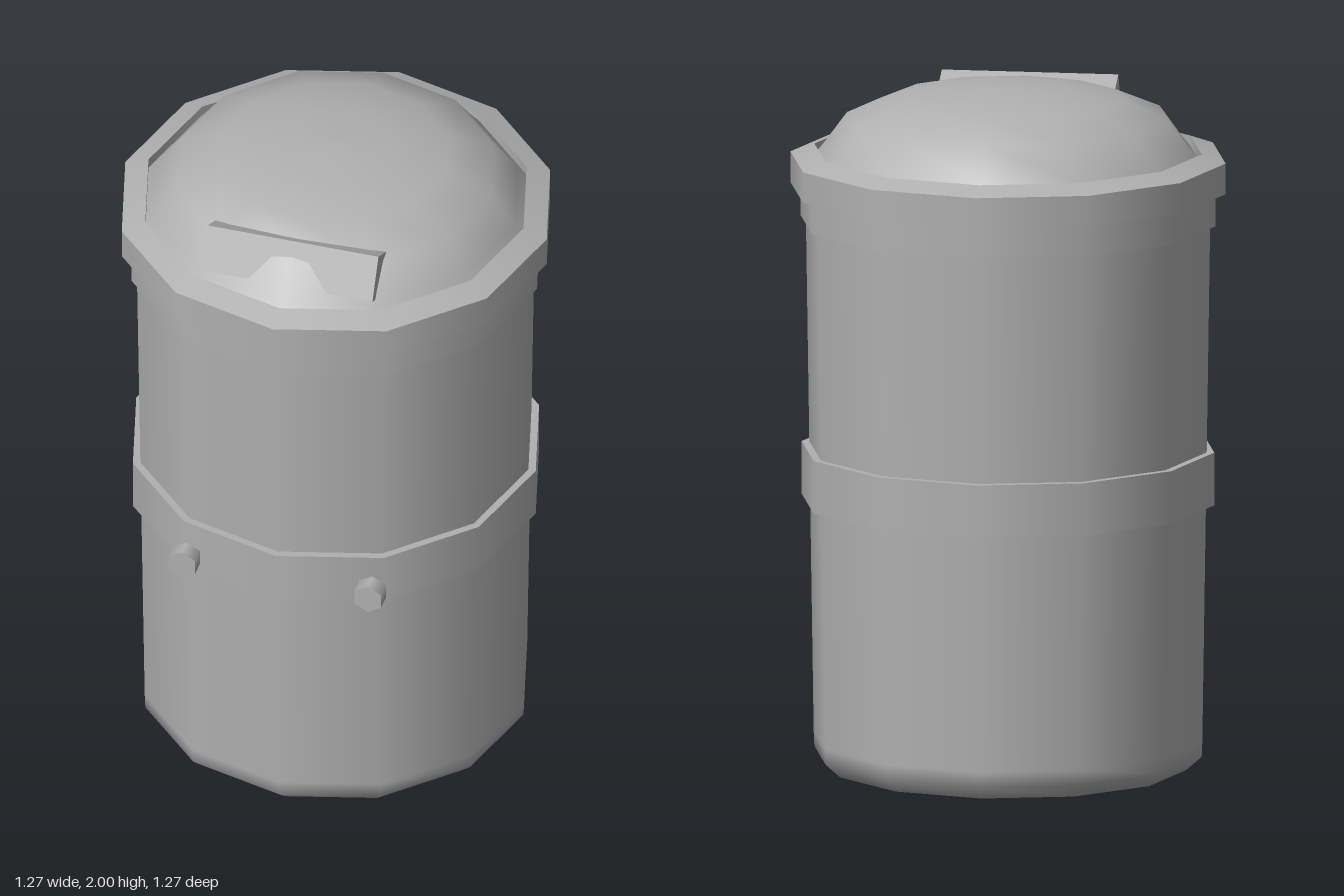
import * as THREE from 'three';
import { mergeGeometries } from 'three/addons/utils/BufferGeometryUtils.js';

const SIDES = 12;

export function createModel() {
  const model = new THREE.Group();
  const grey = new THREE.MeshStandardMaterial({ color: 0xb0b0b0 });
  grey.name = 'grey';

  const add = (name, geometry) => {
    const mesh = new THREE.Mesh(geometry, grey);
    mesh.name = name;
    model.add(mesh);
    return mesh;
  };
  const lathe = (profile) =>
    new THREE.LatheGeometry(profile.map(([r, y]) => new THREE.Vector2(r, y)), SIDES);
  // Smooth around the axis, with a hard edge at every profile point
  const creasedLathe = (profile) =>
    mergeGeometries(profile.slice(1).map((p, i) => lathe([profile[i], p])));

  // Slightly flared drum with a bevelled foot
  add('body', lathe([[0, 0], [0.52, 0.005], [0.565, 0.045], [0.567, 0.09], [0.59, 1.62]]));

  // Raised band around the waist
  add('waistBand', creasedLathe([[0.56, 0.785], [0.602, 0.785], [0.602, 0.94], [0.56, 0.94]]));

  // Collar under the lid
  add('collar', creasedLathe([[0.57, 1.605], [0.606, 1.605], [0.606, 1.71]]));

  // Overhanging lid rim with a low inner lip
  add('lidRim', creasedLathe([
    [0.58, 1.7], [0.635, 1.7], [0.635, 1.79], [0.565, 1.815], [0.565, 1.785],
  ]));

  // Domed lid
  add('lidDome', lathe([
    [0.565, 1.785], [0.54, 1.815], [0.47, 1.91], [0.335, 1.967], [0.175, 1.993], [0, 2],
  ]));

  // Tilted block sunk into the front of the dome
  const block = add('lidBlock', new THREE.BoxGeometry(0.515, 0.134, 0.085));
  block.position.set(0, 1.881, 0.422);
  block.rotation.x = -0.463;

  // Pair of hexagonal bolt heads on the front
  for (const [name, side] of [['leftBolt', 1], ['rightBolt', -1]]) {
    const bolt = add(name, new THREE.CylinderGeometry(0.046, 0.046, 0.05, 6));
    bolt.rotation.x = Math.PI / 2;
    bolt.position.set(side * 0.28, 0.853, 0.588);
  }

  return model;
}
